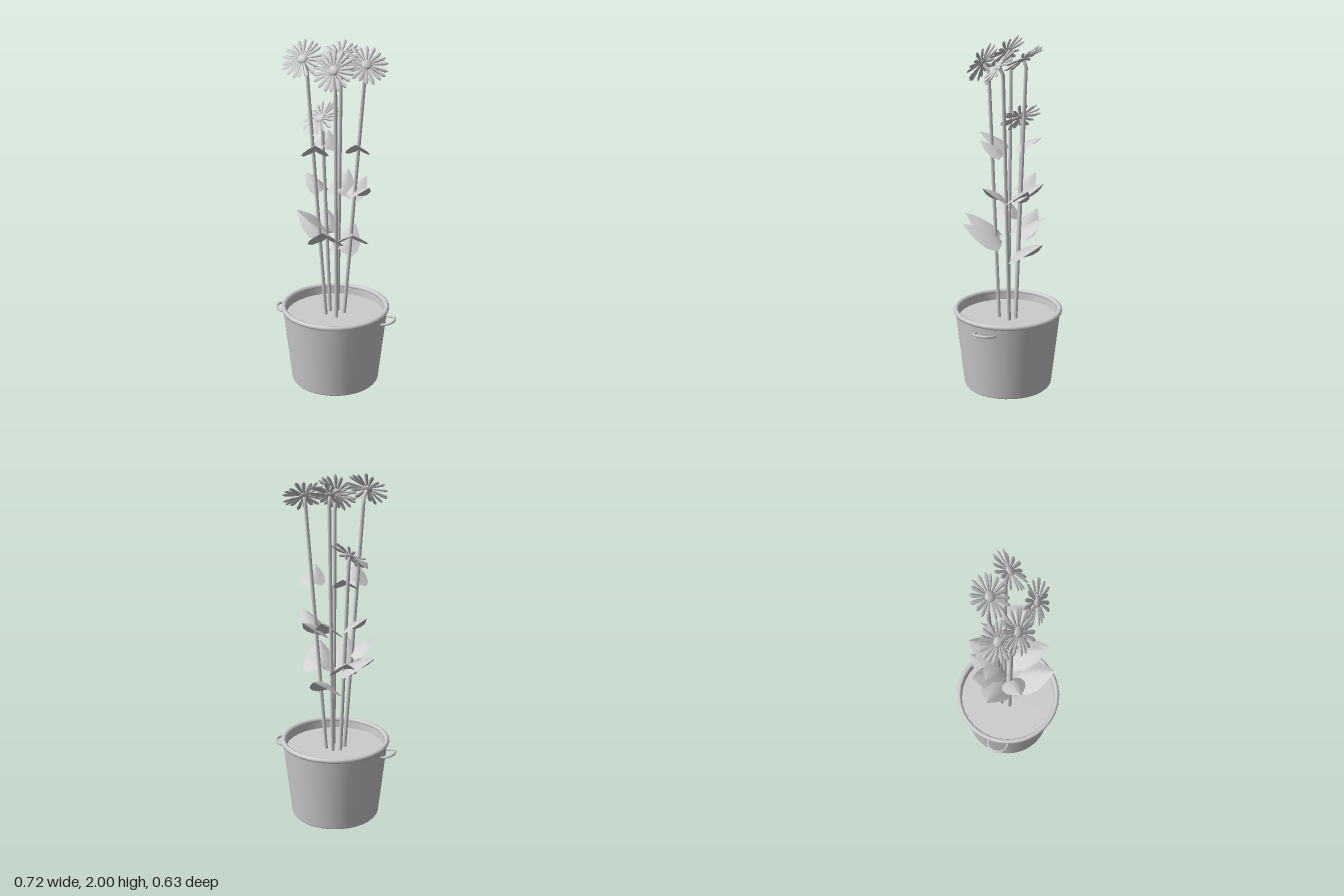
import * as THREE from 'three';

const V = (x, y, z) => new THREE.Vector3(x, y, z);
const grey = new THREE.MeshStandardMaterial({ color: 0xcccccc, side: THREE.DoubleSide });
grey.name = 'light grey';

function part(parent, name, geometry) {
  const m = new THREE.Mesh(geometry, grey);
  m.name = name;
  parent.add(m);
  return m;
}

// Skin built from rows of points
function loft(rows) {
  const n = rows[0].length, index = [];
  for (let i = 0; i < rows.length - 1; i++) {
    for (let j = 0; j < n - 1; j++) {
      const a = i * n + j, b = a + n;
      index.push(a, b, a + 1, b, b + 1, a + 1);
    }
  }
  const g = new THREE.BufferGeometry().setFromPoints(rows.flat());
  g.setIndex(index);
  g.computeVertexNormals();
  return g;
}

// Heart-shaped leaf of unit length along +z, arched across its midrib
function leafGeometry() {
  // along z, half width, midrib height, sweep of the edge towards the base
  const sections = [
    [0, 0.1, 0, 0.06], [0.1, 0.37, 0.05, 0.14], [0.3, 0.45, 0.08, 0.1],
    [0.55, 0.38, 0.08, 0.05], [0.8, 0.2, 0.05, 0.02], [1, 0.005, 0, 0],
  ];
  return loft(sections.map(([z, w, h, s]) => [-1, -0.5, 0, 0.5, 1].map((t) =>
    V(t * w, h - Math.abs(t) * w * 0.58, z - s * t * t))));
}

// Narrow petal along +z with a diamond cross-section
function petalGeometry() {
  const sections = [[0.02, 0.004], [0.06, 0.009], [0.1, 0.0115], [0.112, 0.008], [0.12, 0.001]];
  return loft(sections.map(([z, w]) => [0, 1, 2, 3, 4].map((k) => {
    const a = -k * Math.PI / 2;
    return V(Math.cos(a) * w, Math.sin(a) * w * 0.6 + 0.003, z);
  })));
}

export function createModel() {
  const model = new THREE.Group();
  model.name = 'pottedDaisies';

  // Tapered pot with an open top
  const pot = new THREE.Group();
  pot.name = 'pot';
  model.add(pot);
  const lathe = (pts) => new THREE.LatheGeometry(pts.map(([r, y]) => new THREE.Vector2(r, y)), 32);
  part(pot, 'potBase', new THREE.CircleGeometry(0.245, 32).rotateX(Math.PI / 2));
  part(pot, 'potWall', lathe([[0.245, 0], [0.253, 0.01], [0.301, 0.44]]));
  part(pot, 'potInside', lathe([[0.288, 0.455], [0.282, 0.385]]));
  const rim = part(pot, 'rim', new THREE.TorusGeometry(0.299, 0.0145, 8, 32).rotateX(Math.PI / 2));
  rim.position.y = 0.452;
  const soil = part(model, 'soil', new THREE.CircleGeometry(0.284, 32).rotateX(-Math.PI / 2));
  soil.position.y = 0.405;

  // Loop handle on each side
  for (const s of [-1, 1]) {
    const path = new THREE.CatmullRomCurve3([
      [0.285, 0.4, -0.058], [0.315, 0.405, -0.057], [0.343, 0.41, -0.04], [0.355, 0.413, 0],
      [0.343, 0.41, 0.04], [0.315, 0.405, 0.057], [0.285, 0.4, 0.058],
    ].map(([x, y, z]) => V(s * x, y, z)));
    part(pot, s > 0 ? 'leftHandle' : 'rightHandle', new THREE.TubeGeometry(path, 20, 0.0075, 8));
  }

  // Flowers: base of stem, top of stem, centre of head, direction the head faces
  const petal = petalGeometry();
  const flowers = [
    [[-0.05, 0.4, 0.02], [-0.145, 1.86, 0.05], [-0.155, 1.9, 0.08], [-0.15, 0.62, 0.75]],
    [[0.022, 0.4, 0.045], [0.032, 1.82, 0.1], [0.035, 1.86, 0.135], [-0.08, 0.46, 0.87]],
    [[0.045, 0.4, -0.03], [0.155, 1.84, -0.045], [0.165, 1.865, -0.028], [0.35, 0.65, 0.6]],
    [[-0.04, 0.4, -0.03], [-0.09, 1.53, -0.045], [-0.092, 1.555, -0.033], [-0.38, 0.72, 0.55]],
    [[0, 0.4, -0.05], [0, 1.865, -0.108], [0, 1.89, -0.092], [0, 0.82, 0.57]],
  ];
  for (const [base, stemTop, centre, facing] of flowers) {
    const flower = new THREE.Group();
    flower.name = 'flower';
    model.add(flower);
    const foot = V(...base), neck = V(...stemTop), top = V(...centre), normal = V(...facing).normalize();
    const path = new THREE.CurvePath();
    path.add(new THREE.LineCurve3(foot, neck));
    path.add(new THREE.LineCurve3(neck, top));
    part(flower, 'stem', new THREE.TubeGeometry(path, 30, 0.0105, 8));

    const head = new THREE.Group();
    head.name = 'flowerHead';
    head.position.copy(top);
    head.quaternion.setFromUnitVectors(V(0, 1, 0), normal);
    flower.add(head);
    const disc = part(head, 'flowerCentre', new THREE.SphereGeometry(0.029, 14, 8));
    disc.scale.y = 0.5;
    disc.position.y = 0.004;
    const count = 18;
    for (let i = 0; i < count; i++) {
      const p = part(head, 'petal', petal);
      p.rotation.set((i % 3 - 1) * 0.07, i * 2 * Math.PI / count, 0, 'YXZ');
    }
  }

  // Leaves: root and tip
  const leaf = leafGeometry();
  const leaves = [
    [[-0.1, 1.39, 0.05], [-0.05, 1.465, 0.2]],
    [[0.125, 1.395, -0.03], [0.145, 1.46, 0.1]],
    [[-0.075, 1.395, -0.03], [-0.09, 1.455, -0.165]],
    [[-0.08, 1.15, -0.03], [-0.2, 1.225, -0.08]],
    [[0, 1.13, -0.06], [0.01, 1.22, -0.22]],
    [[0.1, 1.14, -0.02], [0.21, 1.21, 0.05]],
    [[0.06, 1.12, -0.05], [0.13, 1.2, -0.18]],
    [[-0.08, 0.98, 0.03], [-0.19, 1.06, 0.11]],
    [[-0.06, 0.9, -0.02], [-0.25, 1, -0.068]],
    [[-0.03, 0.89, 0.06], [0.01, 1, 0.265]],
    [[0.09, 0.89, 0], [0.16, 0.98, 0.205]],
    [[0.01, 0.79, -0.05], [0.05, 0.885, -0.235]],
    [[-0.05, 0.9, -0.04], [-0.12, 0.99, -0.18]],
  ];
  for (const [root, tip] of leaves) {
    const from = V(...root), to = V(...tip);
    const m = part(model, 'leaf', leaf);
    m.position.copy(from);
    m.lookAt(to);
    const length = from.distanceTo(to);
    m.scale.set(Math.max(length, 0.16) * 0.95, length, length);
  }
  return model;
}
